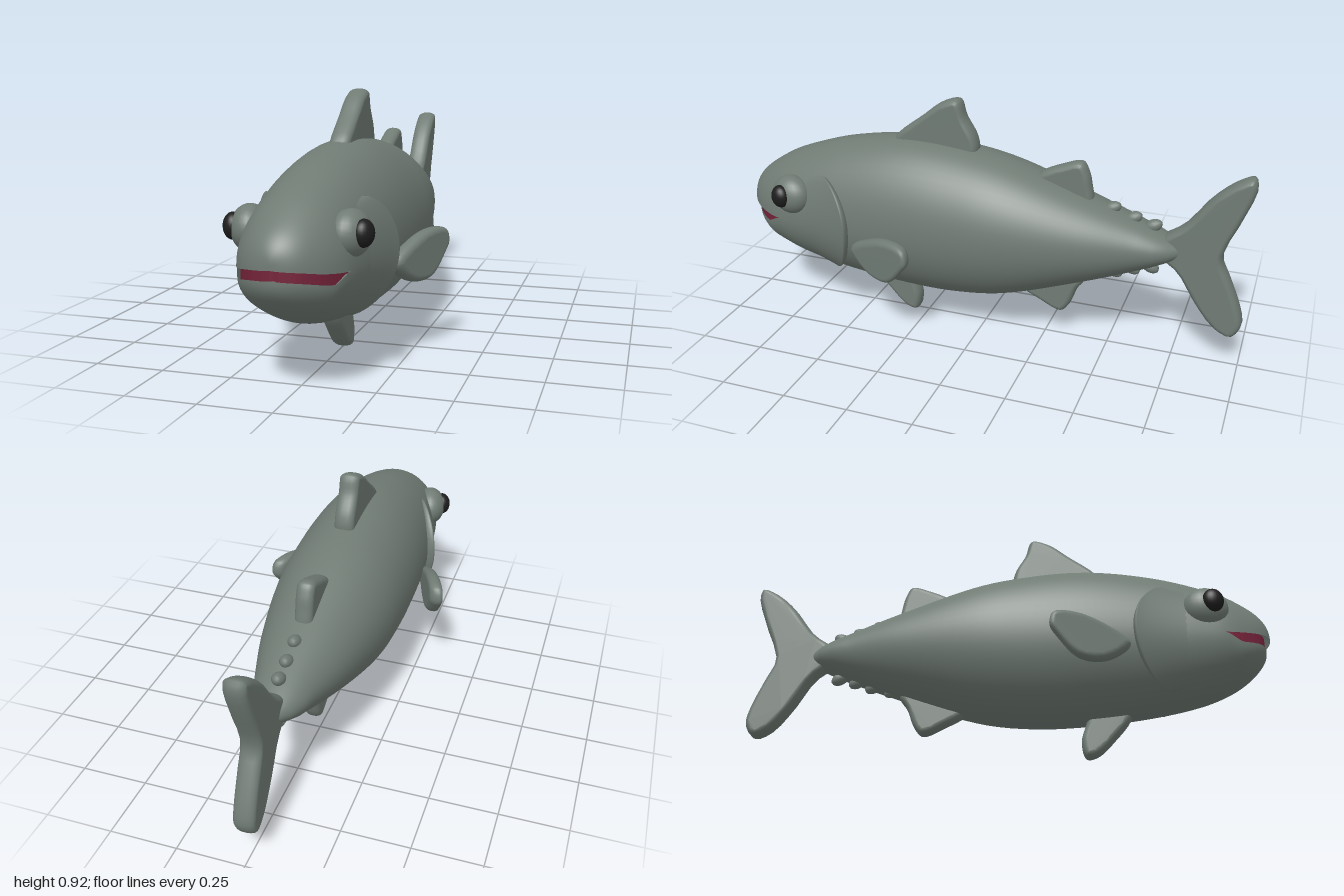
import * as THREE from 'three';
import { mergeVertices, mergeGeometries } from 'three/addons/utils/BufferGeometryUtils.js';

const make = (name, color) => {
  const m = new THREE.MeshStandardMaterial({ color, side: THREE.DoubleSide });
  m.name = name;
  return m;
};

// Body stations from nose to tail: z, half width, top, bottom, height of the mouth line
const stations = [
  [1.0, 0, 0.455, 0.395, 0.44],
  [0.97, 0.088, 0.53, 0.335, 0.432],
  [0.9, 0.15, 0.588, 0.28, 0.418],
  [0.82, 0.185, 0.635, 0.238, 0.41],
  [0.74, 0.2, 0.668, 0.208, 0.412],
  [0.55, 0.222, 0.725, 0.168, 0.42],
  [0.3, 0.238, 0.758, 0.142, 0.435],
  [0.1, 0.24, 0.747, 0.14, 0.44],
  [-0.1, 0.23, 0.712, 0.167, 0.445],
  [-0.4, 0.172, 0.612, 0.268, 0.445],
  [-0.6, 0.112, 0.54, 0.345, 0.445],
  [-0.7, 0.08, 0.5, 0.39, 0.445],
  [-0.77, 0.02, 0.465, 0.425, 0.445],
];
const spline = new THREE.CubicInterpolant(
  stations.map(s => Math.sqrt(1 - s[0])), stations.flatMap(s => s.slice(1)), 4, new Float32Array(4));
const mouthGap = z => 0.036 * THREE.MathUtils.clamp((z - 0.82) / 0.06, 0, 1);

// Point on the body skin; angle 0 is the left side, 90 degrees the back
function skinPoint(z, t, offset = 0) {
  const [hw, top, bottom, line] = spline.evaluate(Math.sqrt(Math.max(0, 1 - z)));
  const lower = t < -1e-6;
  const mid = lower ? line - mouthGap(z) : line;
  const s = Math.sin(t);
  const y = mid + (lower ? mid - bottom : top - mid) * s;
  const pz = lower && z > 0.82 ? z - (z - 0.82) * 0.1 : z;
  return [Math.max(0, hw) * Math.cos(t) + offset * Math.cos(t), y + offset * s, pz];
}

// Smooth surface over a grid of points
function grid(rows, cols, point) {
  const pos = [], index = [], n = cols + 1;
  for (let i = 0; i <= rows; i++) for (let j = 0; j <= cols; j++) {
    pos.push(...point(i / rows, j / cols));
    if (i < rows && j < cols) {
      const a = i * n + j;
      index.push(a, a + n, a + 1, a + 1, a + n, a + n + 1);
    }
  }
  const g = new THREE.BufferGeometry();
  g.setAttribute('position', new THREE.Float32BufferAttribute(pos, 3));
  g.setIndex(index);
  return g;
}

function smooth(g) {
  g.deleteAttribute('normal');
  g.deleteAttribute('uv');
  g = mergeVertices(g, 1e-5);
  g.computeVertexNormals();
  return g;
}

// Thick rounded fin from a closed outline of [z, y] points
function finGeometry(outline, thickness) {
  const curve = new THREE.CatmullRomCurve3(
    outline.map(([z, y]) => new THREE.Vector3(z, y, 0)), true, 'centripetal');
  const pts = curve.getPoints(44).slice(0, -1).map(p => new THREE.Vector2(p.x, p.y));
  const bevel = thickness * 0.42, depth = thickness - 2 * bevel;
  const g = new THREE.ExtrudeGeometry(new THREE.Shape(pts), {
    depth, bevelThickness: bevel, bevelSize: 0.02, bevelOffset: -0.02, bevelSegments: 5 });
  g.translate(0, 0, -depth / 2);
  g.rotateY(-Math.PI / 2);
  return smooth(g);
}

export function createModel() {
  const skin = make('greyGreenSkin', 0x707b74);
  const red = make('mouthRed', 0x74233a);
  const black = make('eyeBlack', 0x1d1d1d);
  const fish = new THREE.Group();
  fish.name = 'fish';
  const add = (name, geometry, material) => {
    const m = new THREE.Mesh(geometry, material);
    m.name = name;
    fish.add(m);
    return m;
  };
  const zAt = u => 1 - 1.77 * u * u;

  // Body: back and belly halves share a seam that opens into the mouth
  const back = grid(64, 28, (u, v) => skinPoint(zAt(u), v * Math.PI));
  const belly = grid(64, 28, (u, v) => {
    const t = Math.min(-1e-5, -Math.PI * (1 - v));
    const p = skinPoint(zAt(u), t);
    if (v === 0 || v === 1) { // meet the upper edge exactly
      const e = skinPoint(zAt(u), v === 0 ? Math.PI : 0);
      p[0] = e[0];
      p[1] = e[1] - mouthGap(zAt(u));
    }
    return p;
  });
  add('body', smooth(mergeGeometries([back, belly])), skin);

  // Mouth lining: a wedge set just inside the lips
  const corners = [[1, -1], [1, 1], [-1, 1], [-1, -1], [1, -1]];
  add('mouth', grid(16, 4, (u, v) => {
    const z = 1 - 0.2 * u * u;
    const [hw, , , line] = spline.evaluate(Math.sqrt(1 - z));
    const [sx, sy] = corners[Math.round(v * 4)];
    const gap = mouthGap(z), grow = 0.008 * Math.min(1, u * 2);
    return [sx * hw * 0.93, line - gap / 2 + sy * (gap / 2 + grow), z - 0.025 * (1 - u)];
  }).toNonIndexed(), red).geometry.computeVertexNormals();

  for (const side of [1, -1]) {
    const label = side > 0 ? 'left' : 'right';

    // Gill cover: raised patch of skin with a curved rear edge
    add(label + 'GillCover', smooth(grid(16, 24, (u, v) => {
      const s = (v * 2 - 1) * side;
      const t = s > 0 ? s * 0.74 : s * 1.08;
      const edge = 0.49 + 0.13 * s * s;
      const k = Math.min(1, u / 0.85);
      const z = THREE.MathUtils.lerp(0.76, edge, Math.sin(k * Math.PI / 2));
      const rise = 0.034 * Math.sqrt(Math.max(0, 1 - s * s)) * THREE.MathUtils.smoothstep(k, 0, 1);
      const tuck = u > 0.85 ? (u - 0.85) / 0.15 : 0;
      const p = skinPoint(z - 0.008 * Math.sin(tuck * Math.PI), t, rise * (1 - tuck) - 0.004 - 0.006 * tuck);
      return [p[0] * side, p[1], p[2]];
    })), skin);

    // Eye and the mound around it
    const ball = new THREE.SphereGeometry(1, 24, 16);
    const mound = add(label + 'EyeMound', ball, skin);
    mound.position.set(side * 0.168, 0.515, 0.752);
    mound.scale.set(0.064, 0.078, 0.085);
    mound.rotation.y = side * -0.25;
    const eye = add(label + 'Eye', ball, black);
    eye.position.set(side * 0.217, 0.522, 0.775);
    eye.scale.set(0.033, 0.045, 0.04);
    eye.rotation.y = side * -0.35;

    // Pectoral fin, swept outward toward the rear
    const pectoral = finGeometry([[0.47, 0.36], [0.38, 0.42], [0.28, 0.45], [0.2, 0.44], [0.185, 0.39],
      [0.21, 0.35], [0.28, 0.28], [0.36, 0.275], [0.43, 0.31]], 0.055);
    const p = pectoral.attributes.position;
    for (let i = 0; i < p.count; i++) p.setX(i, p.getX(i) + side * (0.225 + (0.47 - p.getZ(i)) * 0.41));
    pectoral.computeVertexNormals();
    add(label + 'PectoralFin', pectoral, skin);
  }

  // Fins on the centre line
  add('frontDorsalFin', finGeometry([[0.37, 0.74], [0.25, 0.85], [0.17, 0.91], [0.105, 0.925], [0.08, 0.86],
    [0.04, 0.79], [0.03, 0.73], [0.06, 0.67], [0.3, 0.69]], 0.076), skin);
  add('rearDorsalFin', finGeometry([[-0.2, 0.66], [-0.31, 0.725], [-0.375, 0.74], [-0.4, 0.7],
    [-0.412, 0.65], [-0.42, 0.58], [-0.38, 0.53], [-0.25, 0.58]], 0.065), skin);
  add('pelvicFin', finGeometry([[0.47, 0.17], [0.4, 0.07], [0.335, 0.012], [0.295, 0.008], [0.28, 0.07],
    [0.3, 0.14], [0.32, 0.21], [0.43, 0.22]], 0.072), skin);
  add('analFin', finGeometry([[-0.15, 0.2], [-0.235, 0.145], [-0.315, 0.115], [-0.345, 0.145],
    [-0.375, 0.22], [-0.405, 0.27], [-0.38, 0.34], [-0.25, 0.28]], 0.065), skin);
  add('tailFin', finGeometry([[-0.68, 0.485], [-0.76, 0.55], [-0.85, 0.67], [-0.93, 0.74], [-0.985, 0.762],
    [-0.998, 0.72], [-0.96, 0.6], [-0.905, 0.445], [-0.935, 0.37], [-0.985, 0.25], [-0.998, 0.18],
    [-0.965, 0.13], [-0.9, 0.155], [-0.82, 0.25], [-0.75, 0.36], [-0.68, 0.42]], 0.078), skin);

  // Finlets: small backswept bumps above and below the tail stalk
  const bump = new THREE.SphereGeometry(1, 14, 10);
  const finlets = [[-0.49, 0.573, 1], [-0.57, 0.545, 1], [-0.645, 0.525, 1],
    [-0.435, 0.303, -1], [-0.51, 0.322, -1], [-0.575, 0.345, -1], [-0.645, 0.362, -1]];
  for (const [z, y, dir] of finlets) {
    const f = add(dir > 0 ? 'upperFinlet' : 'lowerFinlet', bump, skin);
    f.position.set(0, y, z);
    f.scale.set(0.024, 0.024, 0.038);
    f.rotation.x = dir * 0.5;
  }
  return fish;
}
